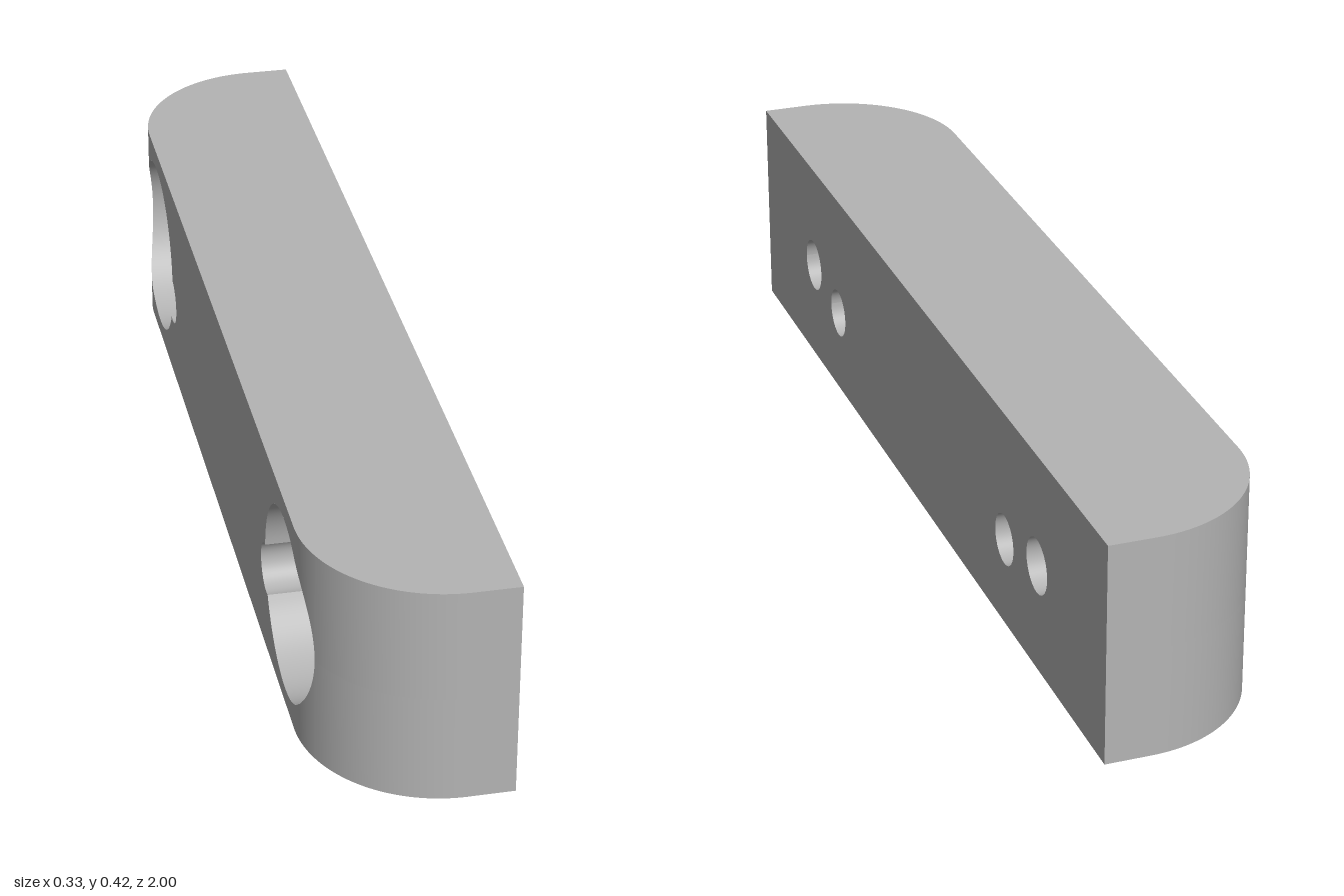
import * as THREE from 'three';

// Overall block: x from -W to W, y from 0 to H, z from -1 to 1
const W = 0.167, H = 0.417, FLOOR = -0.042;
const ROUND = 0.25, BEND = 1 - ROUND;             // rounded rear corners
const BORE = { z: 0.667, y: 0.205, r: 0.175 };    // wide recess
const BOLT = { z: 0.667, y: 0.203, r: 0.052 };    // through hole in the recess
const PIN = { z: 0.5, y: 0.168, r: 0.048 };       // through hole at the recess edge

// Angles where the recess circle and the pin hole cross
const dz = PIN.z - BORE.z, dy = PIN.y - BORE.y, dist = Math.hypot(dz, dy);
const PHI = Math.atan2(dy, dz) + 2 * Math.PI;
const along = (BORE.r ** 2 - PIN.r ** 2 + dist ** 2) / (2 * dist);
const ALPHA = Math.acos(along / BORE.r);
const BETA = Math.acos((along - dist) / PIN.r);
const T0 = Math.acos((BEND - BORE.z) / BORE.r);   // recess reaches the rounded corner

// Points [z, y] along an arc of a circle
function arc(c, from, to, n) {
  return Array.from({ length: n + 1 }, (_, i) => {
    const t = from + (to - from) * i / n;
    return [c.z + c.r * Math.cos(t), c.y + c.r * Math.sin(t)];
  });
}

// x of the rear surface at a given z
const rear = z => z <= BEND ? -W
  : -W + ROUND - Math.sqrt(Math.max(0, ROUND ** 2 - (z - BEND) ** 2));

// Smooth band between two rows of [x, y, z] points; side -1 mirrors it in z
function band(a, b, side) {
  const pos = [], index = [];
  a.forEach((p, i) => {
    for (const q of [p, b[i]]) pos.push(q[0], q[1], q[2] * side);
    if (i === 0) return;
    const A = 2 * i - 2, B = A + 1, C = A + 2, D = A + 3;
    if (side > 0) index.push(A, C, B, C, D, B);
    else index.push(A, B, C, C, B, D);
  });
  const g = new THREE.BufferGeometry();
  g.setAttribute('position', new THREE.Float32BufferAttribute(pos, 3));
  g.setIndex(index);
  g.computeVertexNormals();
  return g;
}

// Wall of a hole following [z, y] points from x0(z) to x1
const wall = (pts, x0, x1, side) => band(
  pts.map(([z, y]) => [x0(z), y, z]), pts.map(([z, y]) => [x1, y, z]), side);

const toShape = pts => new THREE.Shape(pts.map(p => new THREE.Vector2(p[0], p[1])));
const mirror = pts => pts.map(([z, y]) => [-z, y]);

function addHole(shape, pts) {
  shape.holes.push(new THREE.Path(pts.map(p => new THREE.Vector2(p[0], p[1]))));
}

export function createModel() {
  const model = new THREE.Group();
  model.name = 'handleBlock';
  const grey = new THREE.MeshStandardMaterial({ color: 0xb4b4b4, side: THREE.DoubleSide });
  grey.name = 'plain grey';
  const add = (name, geometry) => {
    const mesh = new THREE.Mesh(geometry, grey);
    mesh.name = name;
    model.add(mesh);
  };
  const ring = c => arc(c, 0, 2 * Math.PI, 48);

  // Flat mounting face with four holes
  const mount = toShape([[-1, 0], [1, 0], [1, H], [-1, H]]);
  for (const c of [BOLT, PIN]) {
    addHole(mount, ring(c).slice(0, -1));
    addHole(mount, mirror(ring(c).slice(0, -1)));
  }
  add('mountingFace', new THREE.ShapeGeometry(mount).rotateY(Math.PI / 2).translate(W, 0, 0));

  // Flat rear face, notched by the two recesses
  const notch = [
    ...arc(BORE, T0, PHI - ALPHA, 40),
    ...arc(PIN, PHI - BETA, PHI + BETA, 24).slice(1),
    ...arc(BORE, PHI + ALPHA, 2 * Math.PI - T0, 40).slice(1),
  ];
  const rearFace = toShape([
    [-BEND, 0], [BEND, 0], ...notch.slice().reverse(),
    [BEND, H], [-BEND, H], ...mirror(notch),
  ]);
  add('rearFace', new THREE.ShapeGeometry(rearFace).rotateY(-Math.PI / 2).translate(-W, 0, 0));

  // Top and bottom faces
  const plan = new THREE.Shape();
  plan.moveTo(W, -1);
  plan.lineTo(W, 1);
  plan.lineTo(ROUND - W, 1);
  plan.absarc(ROUND - W, BEND, ROUND, Math.PI / 2, Math.PI, false);
  plan.lineTo(-W, -BEND);
  plan.absarc(ROUND - W, -BEND, ROUND, Math.PI, Math.PI * 1.5, false);
  add('topFace', new THREE.ShapeGeometry(plan, 32).rotateX(-Math.PI / 2).translate(0, H, 0));
  add('bottomFace', new THREE.ShapeGeometry(plan, 32).rotateX(Math.PI / 2));

  // Rounded corner outline as [x, z, half height of the recess there]
  const corner = [];
  for (let i = 0; i <= 20; i++) {
    const t = T0 * (1 - i / 20), z = BORE.z + BORE.r * Math.cos(t);
    corner.push([rear(z), z, BORE.r * Math.sin(t)]);
  }
  const start = Math.asin((BORE.z + BORE.r - BEND) / ROUND);
  for (let i = 1; i <= 24; i++) {
    const t = start + (Math.PI / 2 - start) * i / 24;
    corner.push([ROUND - W - ROUND * Math.cos(t), BEND + ROUND * Math.sin(t), 0]);
  }
  corner.push([W, 1, 0]);
  const row = height => corner.map(([x, z, h]) => [x, height(h), z]);

  // Recess floor: disc less the pin and bolt holes
  const floor = [
    ...arc(BORE, PHI + ALPHA, PHI + 2 * Math.PI - ALPHA, 72),
    ...arc(PIN, PHI - BETA, PHI + BETA - 2 * Math.PI, 24).slice(1, -1),
  ];

  for (const side of [1, -1]) {
    const tag = side > 0 ? 'front' : 'back';
    add(tag + 'CornerLower', band(row(() => 0), row(h => BORE.y - h), side));
    add(tag + 'CornerUpper', band(row(h => BORE.y + h), row(() => H), side));

    add(tag + 'RecessWall',
      wall(arc(BORE, PHI + ALPHA, PHI + 2 * Math.PI - ALPHA, 72), rear, FLOOR, side));
    add(tag + 'RecessGroove',
      wall(arc(PIN, PHI - BETA, PHI + BETA, 24), rear, FLOOR, side));

    const flip = side > 0 ? p => p : mirror;
    const floorShape = toShape(flip(floor));
    addHole(floorShape, flip(ring(BOLT).slice(0, -1)));
    add(tag + 'RecessFloor',
      new THREE.ShapeGeometry(floorShape).rotateY(-Math.PI / 2).translate(FLOOR, 0, 0));

    add(tag + 'BoltHole', wall(ring(BOLT), () => FLOOR, W, side));
    add(tag + 'PinHole', wall(ring(PIN), () => FLOOR, W, side));
  }
  return model;
}
